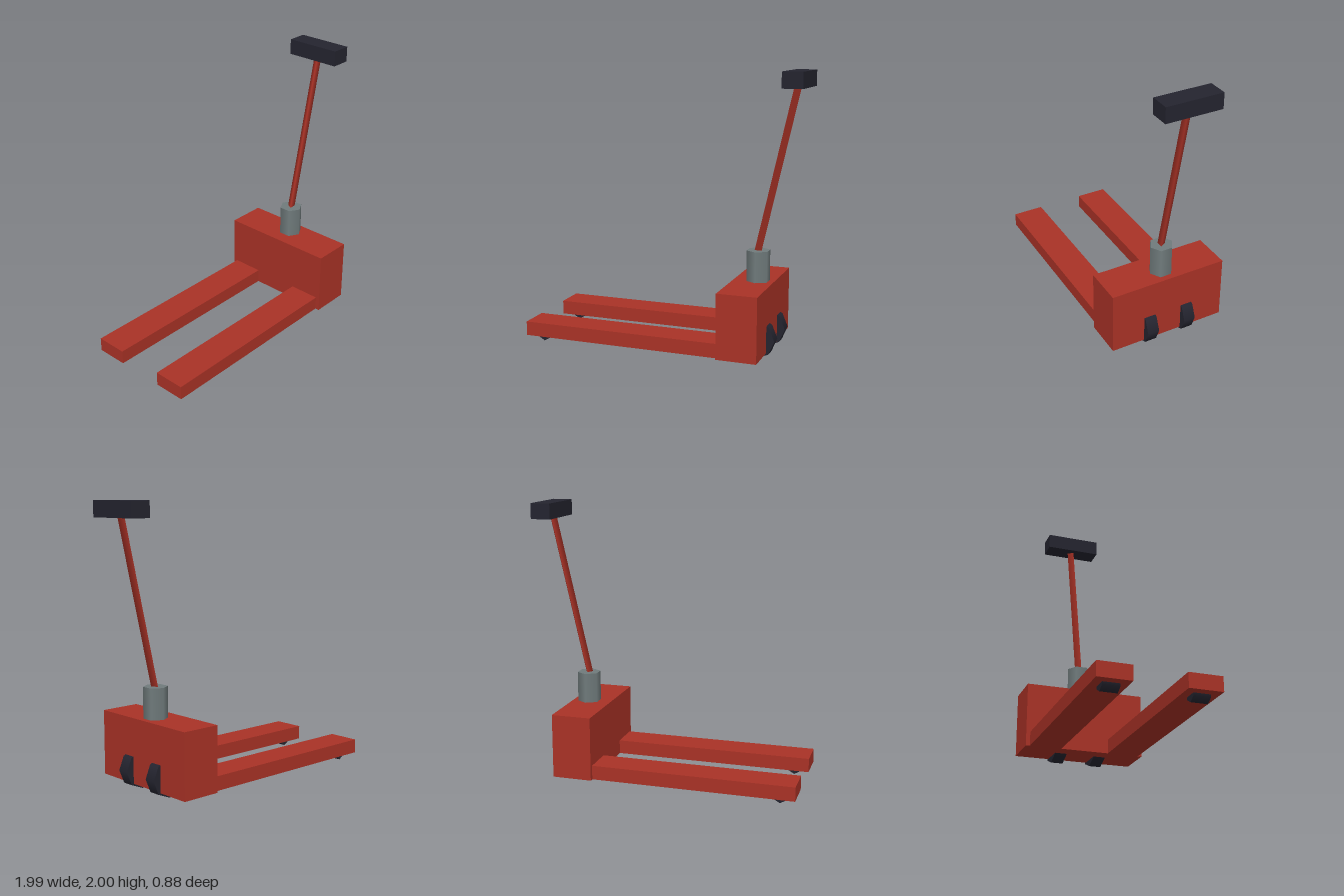
import * as THREE from 'three';

const material = (name, color) => {
  const m = new THREE.MeshStandardMaterial({ color });
  m.name = name;
  return m;
};

export function createModel() {
  const red = material('red paint', 0xa93226);
  const steel = material('grey steel', 0x707b7c);
  const rubber = material('black rubber', 0x24242f);

  const group = new THREE.Group();
  group.name = 'palletTruck';

  const add = (name, geometry, mat, x, y, z) => {
    const mesh = new THREE.Mesh(geometry, mat);
    mesh.name = name;
    mesh.position.set(x, y, z);
    group.add(mesh);
    return mesh;
  };

  // Box given by its extents along each axis
  const box = (name, mat, [x0, x1], [y0, y1], [z0, z1]) =>
    add(name, new THREE.BoxGeometry(x1 - x0, y1 - y0, z1 - z0), mat,
      (x0 + x1) / 2, (y0 + y1) / 2, (z0 + z1) / 2);

  // Wheel with its axle along z and a corner pointing down
  const wheel = (name, radius, width, sides, x, z) => {
    const geometry = new THREE.CylinderGeometry(radius, radius, width, sides);
    geometry.rotateX(Math.PI / 2);
    add(name, geometry, rubber, x, radius, z);
  };

  // Body and hydraulic pump
  box('body', red, [0.48, 0.77], [0.047, 0.515], [-0.442, 0.442]);
  add('pump', new THREE.CylinderGeometry(0.086, 0.086, 0.24, 6), steel, 0.652, 0.617, 0);

  // Forks and wheels, mirrored across the centre line
  for (const [side, s] of [['right', 1], ['left', -1]]) {
    const inner = 0.178 * s, outer = 0.412 * s;
    box(side + 'Fork', red, [-0.995, 0.485], [0.047, 0.15],
      [Math.min(inner, outer), Math.max(inner, outer)]);
    wheel(side + 'LoadWheel', 0.057, 0.117, 6, -0.88, 0.295 * s);
    wheel(side + 'SteerWheel', 0.137, 0.088, 8, 0.691, 0.148 * s);
  }

  // Three-sided tiller pole leaning back from the pump
  const foot = new THREE.Vector3(0.64, 0.68, 0);
  const head = new THREE.Vector3(0.918, 1.91, 0);
  const direction = head.clone().sub(foot);
  const poleGeometry = new THREE.CylinderGeometry(
    0.029, 0.029, direction.length(), 3, 1, false, Math.PI);
  const middle = foot.clone().add(head).multiplyScalar(0.5);
  add('tillerPole', poleGeometry, red, middle.x, middle.y, 0)
    .quaternion.setFromUnitVectors(new THREE.Vector3(0, 1, 0), direction.normalize());

  // Grip
  box('handle', rubber, [0.847, 0.993], [1.887, 2.0], [-0.207, 0.207]);

  return group;
}
